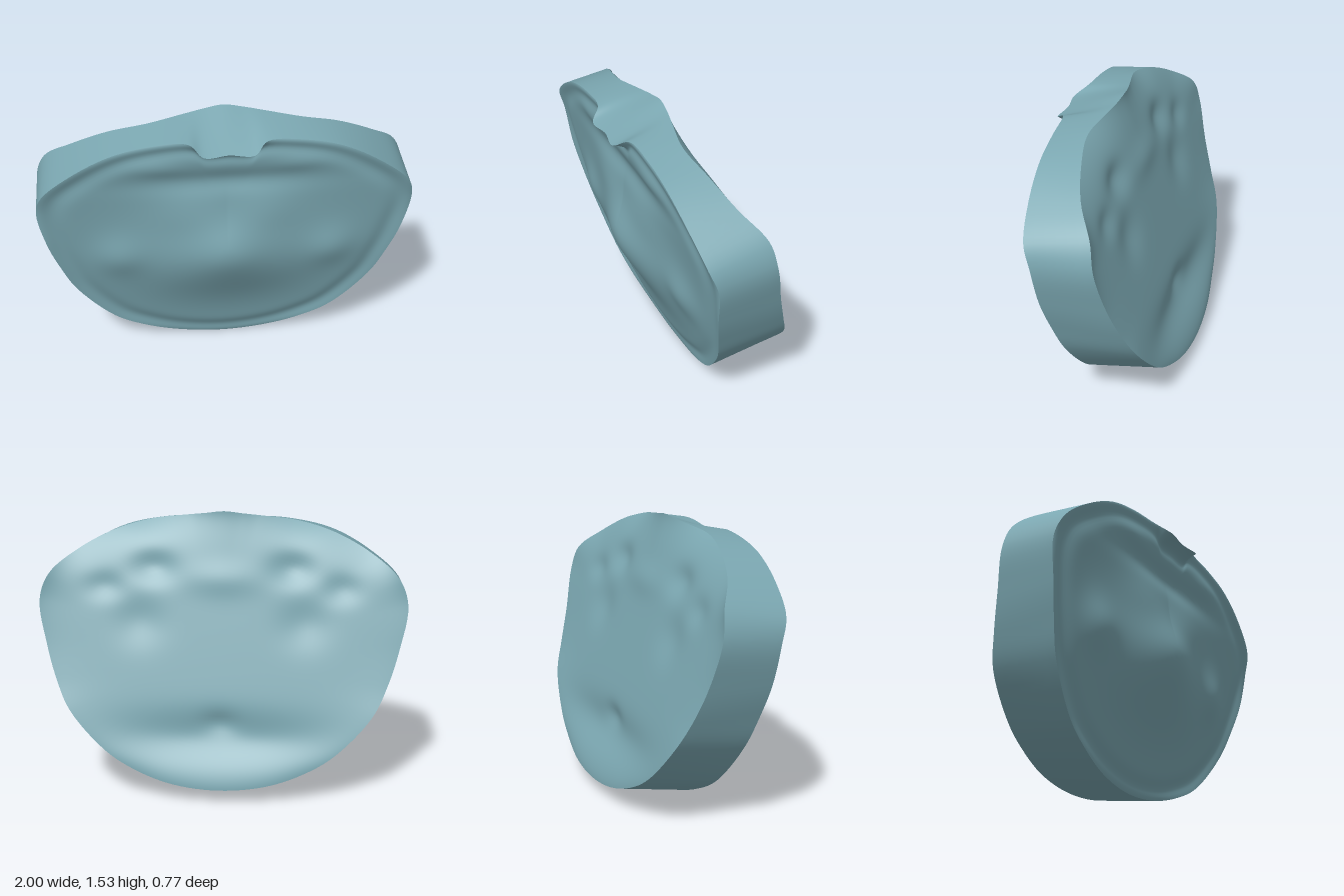
import * as THREE from 'three';
import { mergeVertices } from 'three/addons/utils/BufferGeometryUtils.js';

const AROUND = 168, RINGS = 36, CENTRE_Y = 0.78;

// Half rims from bottom centre to top centre, matched point for point
const FRONT_RIM = [
  [0, 0, 0.01], [0.25, 0.03, 0.02], [0.45, 0.1, 0.045], [0.62, 0.2, 0.07], [0.82, 0.44, 0.12],
  [0.9, 0.62, 0.16], [0.96, 0.8, 0.195], [1, 1.02, 0.22], [0.965, 1.14, 0.26], [0.8, 1.285, 0.29],
  [0.6, 1.395, 0.305], [0.4, 1.445, 0.31], [0.2, 1.455, 0.325], [0.13, 1.41, 0.385], [0, 1.41, 0.37],
];
const BACK_RIM = [
  [0, 0.08, -0.385], [0.25, 0.105, -0.375], [0.45, 0.17, -0.35], [0.62, 0.27, -0.325], [0.82, 0.48, -0.275],
  [0.9, 0.64, -0.215], [0.96, 0.83, -0.155], [1, 1.06, -0.105], [0.95, 1.2, -0.075], [0.8, 1.32, 0.02],
  [0.6, 1.42, 0.085], [0.4, 1.475, 0.12], [0.2, 1.505, 0.085], [0.1, 1.518, 0.065], [0, 1.53, 0.055],
];

// Soft bumps: x, y, width, height, depth (each is mirrored about x = 0)
const FRONT_BUMPS = [
  [0, 0.66, 0.5, 0.3, 0.12], [0, 0.77, 0.2, 0.16, 0.035], [0.2, 1.0, 0.2, 0.14, 0.02],
  [0.58, 0.7, 0.13, 0.13, 0.03], [0, 1.2, 0.45, 0.07, -0.025], [0.36, 1.3, 0.14, 0.05, 0.008],
];
const BACK_BUMPS = [
  [0.38, 1.23, 0.12, 0.08, 0.035], [0.65, 1.13, 0.1, 0.07, 0.022], [0.45, 0.95, 0.13, 0.12, 0.022],
  [0, 0.34, 0.55, 0.12, 0.045], [0, 0.42, 0.1, 0.06, 0.02], [0, 1.18, 0.2, 0.08, -0.015],
];

function sampleRim(half) {
  const mirrored = half.slice(1, -1).reverse().map(([x, y, z]) => [-x, y, z]);
  const points = [...half, ...mirrored].map((p) => new THREE.Vector3(...p));
  const curve = new THREE.CatmullRomCurve3(points, true, 'centripetal');
  return Array.from({ length: AROUND }, (_, i) => curve.getPoint(i / AROUND));
}

function relief(bumps, x, y) {
  return bumps.reduce((sum, [bx, by, w, h, depth]) => {
    const dx = (Math.abs(x) - bx) / w, dy = (y - by) / h;
    return sum + depth * Math.exp(-dx * dx - dy * dy);
  }, 0);
}

// Rings of points from the middle of a face out to its rim
function faceRows(rim, height, sharpness) {
  const rows = [];
  for (let j = 0; j <= RINGS; j++) {
    const s = 1 - Math.pow(1 - j / RINGS, 1.4);
    rows.push(rim.map((p) => {
      const x = p.x * s, y = CENTRE_Y + (p.y - CENTRE_Y) * s;
      return new THREE.Vector3(x, y, THREE.MathUtils.lerp(height(x, y, s), p.z, Math.pow(s, sharpness)));
    }));
  }
  return rows;
}

// Skin closed rows of points into one smooth surface
function skin(rows) {
  const geometry = new THREE.BufferGeometry().setFromPoints(rows.flat());
  const index = [];
  for (let j = 0; j < rows.length - 1; j++) {
    for (let i = 0; i < AROUND; i++) {
      const k = (i + 1) % AROUND;
      const a = j * AROUND + i, b = a + AROUND, c = (j + 1) * AROUND + k, d = j * AROUND + k;
      index.push(a, b, c, a, c, d);
    }
  }
  geometry.setIndex(index);
  const merged = mergeVertices(geometry, 1e-5);
  merged.computeVertexNormals();
  return merged;
}

export function createModel() {
  const group = new THREE.Group();
  group.name = 'shellSlab';
  const blueGrey = new THREE.MeshStandardMaterial({ color: 0x7ba7b1 });
  blueGrey.name = 'blueGrey';

  const add = (name, rows) => {
    const mesh = new THREE.Mesh(skin(rows), blueGrey);
    mesh.name = name;
    group.add(mesh);
  };

  const front = sampleRim(FRONT_RIM), back = sampleRim(BACK_RIM);

  // Domed front leaning forward, with a shallow groove inside the rim
  const frontHeight = (x, y, s) => {
    const groove = -0.018 * Math.exp(-(((s - 0.93) / 0.06) ** 2));
    return 0.03 + 0.205 * y + relief(FRONT_BUMPS, x, y) + groove;
  };
  add('frontFace', faceRows(front, frontHeight, 28));

  // Side wall joining the two rims
  const wall = [];
  for (let j = 0; j <= 6; j++) wall.push(front.map((p, i) => p.clone().lerp(back[i], j / 6)));
  add('sideWall', wall);

  // Nearly flat back, scooped near the bottom, with shallow dents
  const backHeight = (x, y) => -0.38 + 0.297 * (y - 0.08) + relief(BACK_BUMPS, x, y);
  add('backFace', faceRows(back, backHeight, 9).reverse());

  return group;
}
